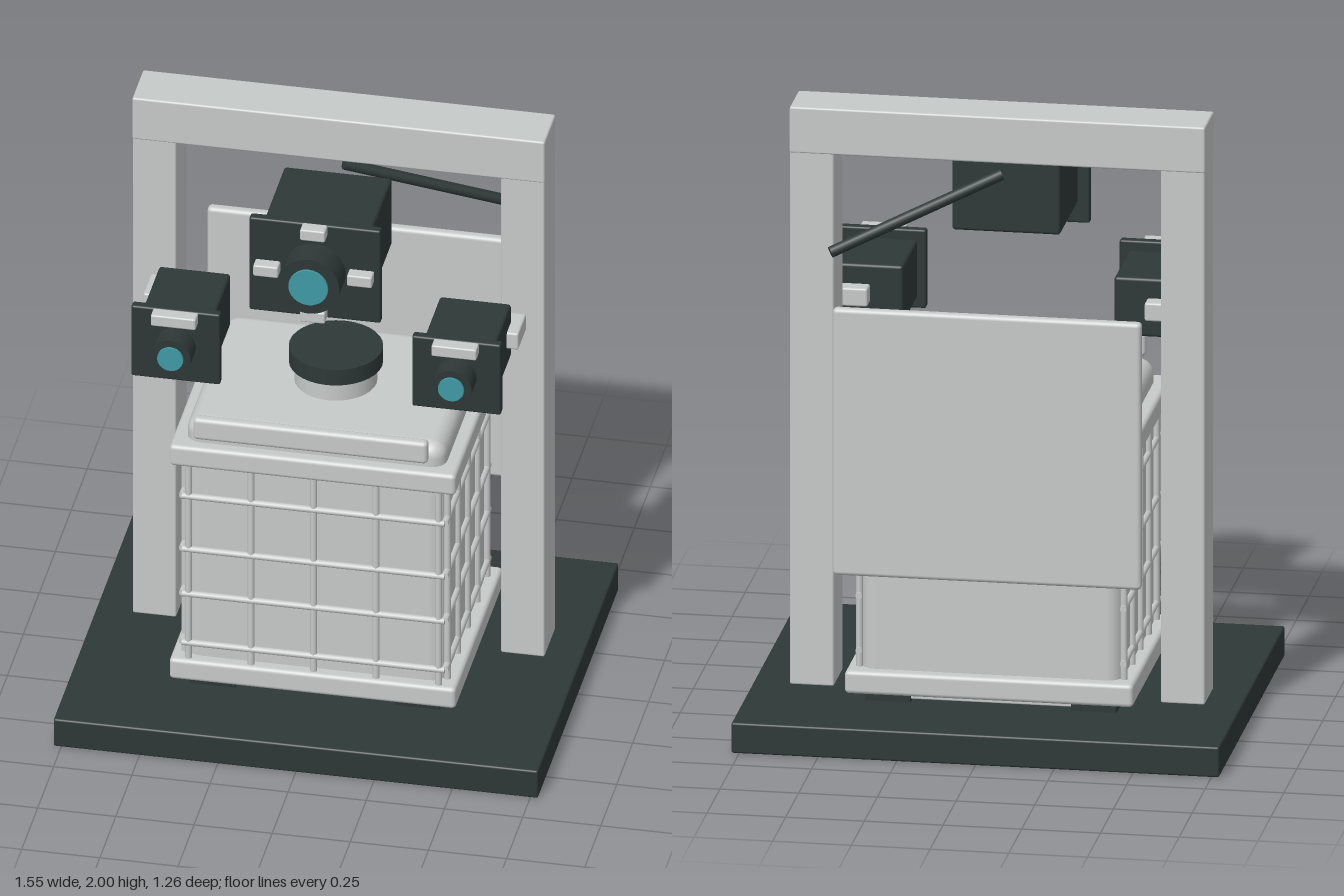
import * as THREE from 'three';
import { RoundedBoxGeometry } from 'three/addons/geometries/RoundedBoxGeometry.js';

const mat = (name, color) => {
  const m = new THREE.MeshStandardMaterial({ color });
  m.name = name;
  return m;
};

export function createModel() {
  const root = new THREE.Group();
  root.name = 'tankInspectionStand';
  const light = mat('pale grey', 0xc6cac8);
  const dark = mat('charcoal', 0x2e3837);
  const glass = mat('teal glass', 0x3f9aa6);

  const add = (parent, name, geo, material) => {
    const mesh = new THREE.Mesh(geo, material);
    mesh.name = name;
    parent.add(mesh);
    return mesh;
  };
  // Bevelled box given by its minimum and maximum corners
  const box = (parent, name, material, [x0, y0, z0], [x1, y1, z1], r = 0.007) => {
    const mesh = add(parent, name, new RoundedBoxGeometry(x1 - x0, y1 - y0, z1 - z0, 3, r), material);
    mesh.position.set((x0 + x1) / 2, (y0 + y1) / 2, (z0 + z1) / 2);
    return mesh;
  };
  // Cylinder between two points
  const rod = (parent, name, material, a, b, r, sides = 10) => {
    const p = new THREE.Vector3(...a), q = new THREE.Vector3(...b);
    const mesh = add(parent, name, new THREE.CylinderGeometry(r, r, p.distanceTo(q), sides), material);
    mesh.position.copy(p).add(q).multiplyScalar(0.5);
    mesh.quaternion.setFromUnitVectors(new THREE.Vector3(0, 1, 0), q.sub(p).normalize());
    return mesh;
  };

  // Base and gantry
  box(root, 'base', dark, [-0.775, 0, -0.632], [0.775, 0.1, 0.632]);
  const gantry = new THREE.Group();
  gantry.name = 'gantry';
  root.add(gantry);
  for (const s of [-1, 1]) {
    const x = s * 0.589;
    box(gantry, 'post', light, [x - 0.07, 0.098, -0.208], [x + 0.07, 1.9, -0.038]);
  }
  box(gantry, 'crossbeam', light, [-0.66, 1.848, -0.21], [0.66, 2, -0.036]);

  // Tank with bands, neck and cap
  const tank = new THREE.Group();
  tank.name = 'tank';
  root.add(tank);
  box(tank, 'tankBody', light, [-0.415, 0.13, -0.335], [0.415, 1.068, 0.335], 0.05);
  for (const y of [0.13, 0.917]) {
    box(tank, 'band', light, [-0.458, y, -0.374], [0.458, y + 0.075, 0.374], 0.014);
  }
  rod(tank, 'neck', light, [0, 1.05, 0], [0, 1.145, 0], 0.13, 32);
  rod(tank, 'cap', dark, [0, 1.135, 0], [0, 1.192, 0], 0.148, 32);
  box(tank, 'pallet', light, [-0.4, 0.11, -0.33], [0.4, 0.135, 0.33], 0.004);
  for (const s of [-1, 1]) {
    box(tank, 'runner', dark, [s * 0.327 - 0.073, 0.095, -0.335], [s * 0.327 + 0.073, 0.132, 0.335], 0.004);
  }

  // Wire cage on the front and both sides
  const cage = new THREE.Group();
  cage.name = 'cage';
  root.add(cage);
  for (let i = -2; i <= 2; i++) {
    rod(cage, 'frontUpright', light, [i * 0.2, 0.19, 0.35], [i * 0.2, 0.93, 0.35], 0.011);
    for (const s of [-1, 1]) {
      rod(cage, 'sideUpright', light, [s * 0.42, 0.19, i * 0.155], [s * 0.42, 0.93, i * 0.155], 0.011);
    }
  }
  for (const y of [0.26, 0.44, 0.605, 0.8]) {
    rod(cage, 'frontRail', light, [-0.42, y, 0.352], [0.42, y, 0.352], 0.011);
    for (const s of [-1, 1]) {
      rod(cage, 'sideRail', light, [s * 0.42, y, -0.33], [s * 0.42, y, 0.352], 0.011);
    }
  }

  // Rear panel and front strip
  box(root, 'rearPanel', light, [-0.49, 0.53, -0.412], [0.49, 1.408, -0.375], 0.014);
  box(root, 'frontStrip', light, [-0.375, 1.045, 0.373], [0.375, 1.123, 0.41], 0.014);

  // Camera: body, face plate, lens barrel and glass, centred on its lens axis
  const camera = (name, x, y, o) => {
    const g = new THREE.Group();
    g.name = name;
    g.position.set(x, y, 0);
    root.add(g);
    box(g, 'cameraBody', dark, [-o.bw, o.by[0], o.back], [o.bw, o.by[1], o.face + 0.01], 0.01);
    box(g, 'facePlate', dark, [-o.pw, o.py[0], o.face], [o.pw, o.py[1], o.face + 0.032], 0.007);
    rod(g, 'lensBarrel', dark, [0, 0, o.face + 0.02], [0, 0, o.tip], o.r, 32);
    rod(g, 'lensGlass', glass, [0, 0, o.tip - 0.01], [0, 0, o.tip + 0.008], o.r * 0.64, 24);
    for (const [cx, cy, w, h] of o.clips) {
      box(g, 'clip', light, [cx - w, cy - h, o.face + 0.025], [cx + w, cy + h, o.face + 0.072], 0.006);
    }
  };
  camera('centreCamera', 0, 1.67, {
    bw: 0.172, by: [-0.105, 0.14], back: -0.036, pw: 0.21, py: [-0.17, 0.17], face: 0.3, tip: 0.43, r: 0.099,
    clips: [[0, 0.15, 0.04, 0.02], [0, -0.15, 0.04, 0.02], [0.15, 0, 0.04, 0.02], [-0.15, 0, 0.04, 0.02]],
  });
  for (const s of [-1, 1]) {
    camera(s > 0 ? 'leftCamera' : 'rightCamera', s * 0.449, 1.327, {
      bw: 0.114, by: [-0.097, 0.095], back: 0.01, pw: 0.142, py: [-0.129, 0.129], face: 0.283, tip: 0.393, r: 0.065,
      clips: [[0, 0.107, 0.072, 0.02]],
    });
    // Bracket joining the camera to its post
    box(root, 'sideBracket', light, [s * 0.52 - 0.08, 1.298, -0.042], [s * 0.52 + 0.08, 1.358, 0.083]);
  }

  // Slanted arm behind the centre camera
  rod(root, 'slantedArm', dark, [0, 1.785, -0.125], [0.507, 1.572, -0.345], 0.018, 16);
  return root;
}
